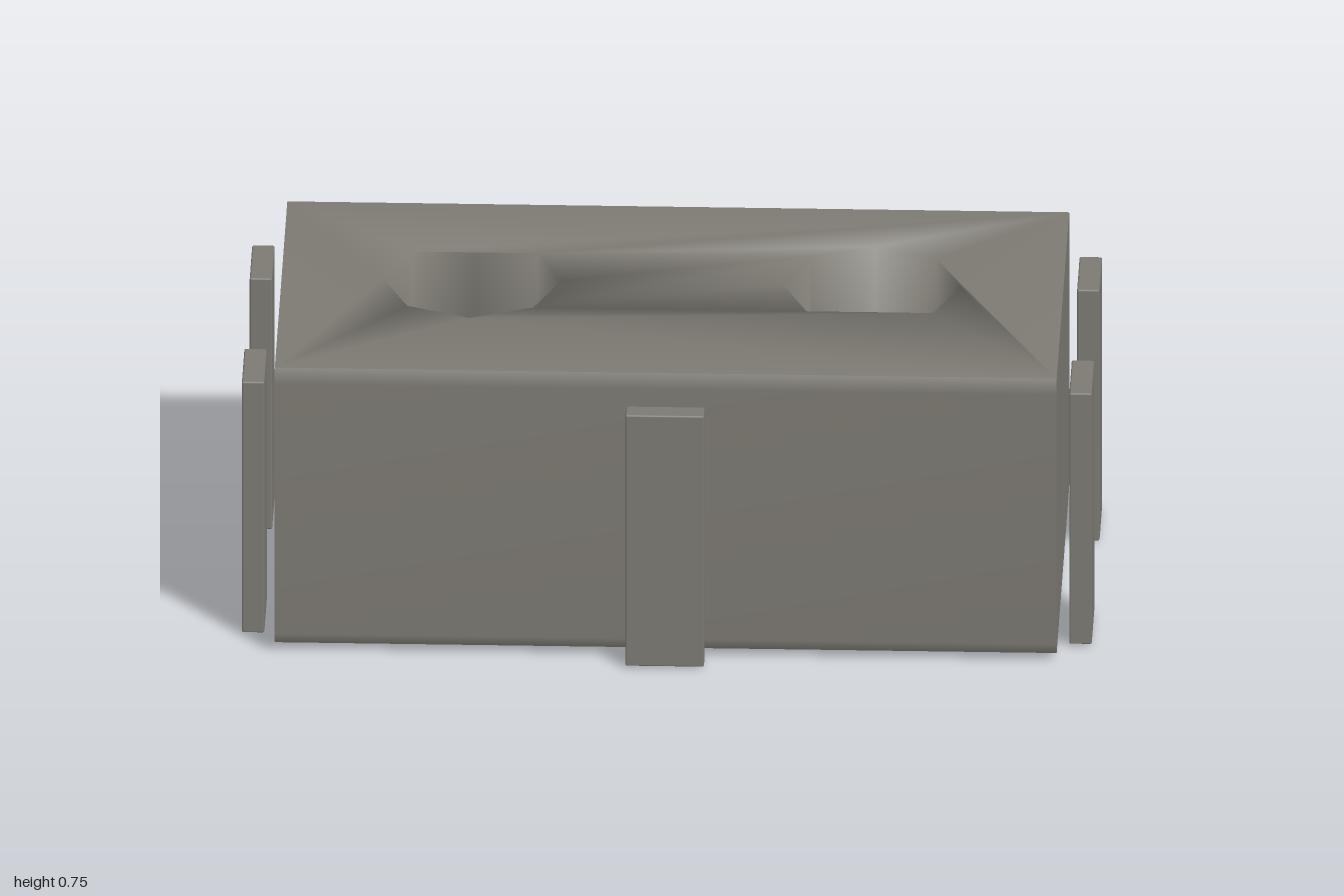
import * as THREE from 'three';
import { mergeGeometries, mergeVertices } from 'three/addons/utils/BufferGeometryUtils.js';
import { RoundedBoxGeometry } from 'three/addons/geometries/RoundedBoxGeometry.js';

const HALF_X = 0.92, HALF_Z = 0.455;
const LOW = 0.02, HIGH = 0.735, CROWN = 0.755;

// Eight-sided opening; corners listed in flat are pulled back onto the square side
function ring(cx, flat) {
  return Array.from({ length: 8 }, (_, k) => {
    const a = k * Math.PI / 4, r = flat.includes(k) ? 0.148 : 0.21;
    return new THREE.Vector2(cx + r * Math.cos(a), r * Math.sin(a));
  });
}

function fromTriangles(points) {
  const g = new THREE.BufferGeometry().setFromPoints(points);
  return g;
}

// Slightly crowned face with two openings; dir is 1 for top and -1 for bottom
function crownedFace(rings, dir) {
  const v = (x, z) => new THREE.Vector2(x, -dir * z);
  const shape = new THREE.Shape([
    v(-HALF_X, HALF_Z), v(HALF_X, HALF_Z), v(HALF_X, -HALF_Z), v(-HALF_X, -HALF_Z)]);
  for (const r of rings) shape.holes.push(new THREE.Path(r.map(p => v(p.x, p.y))));
  const g = new THREE.ShapeGeometry(shape).rotateX(-dir * Math.PI / 2);
  const pos = g.attributes.position;
  for (let i = 0; i < pos.count; i++) {
    const rim = Math.abs(pos.getX(i)) > 0.9;
    pos.setY(i, dir > 0 ? (rim ? HIGH : CROWN) : (rim ? LOW : 0));
  }
  g.deleteAttribute('normal');
  g.deleteAttribute('uv');
  return g.toNonIndexed();
}

// Inner wall joining a top opening to a bottom opening
function holeWall(top, bottom) {
  const pts = [];
  for (let k = 0; k < 8; k++) {
    const n = (k + 1) % 8;
    const a = new THREE.Vector3(top[k].x, CROWN, top[k].y);
    const b = new THREE.Vector3(top[n].x, CROWN, top[n].y);
    const c = new THREE.Vector3(bottom[k].x, 0, bottom[k].y);
    const d = new THREE.Vector3(bottom[n].x, 0, bottom[n].y);
    pts.push(a, c, b, b, c, d);
  }
  return fromTriangles(pts);
}

export function createModel() {
  const model = new THREE.Group();
  const stone = new THREE.MeshStandardMaterial({ color: 0x7d7a73 });
  stone.name = 'grey stone';

  const add = (name, geometry, parent = model) => {
    const mesh = new THREE.Mesh(geometry, stone);
    mesh.name = name;
    parent.add(mesh);
    return mesh;
  };

  // Top, bottom and hole walls share soft normals
  const tops = [ring(-0.47, [6]), ring(0.47, [2])];
  const bottoms = [ring(-0.47, [2]), ring(0.47, [4, 6])];
  const core = mergeVertices(mergeGeometries([
    crownedFace(tops, 1), crownedFace(bottoms, -1),
    holeWall(tops[0], bottoms[0]), holeWall(tops[1], bottoms[1])]), 1e-4);
  core.computeVertexNormals();
  add('piercedCore', core);

  // Long sides, bulging slightly between their upper and lower edges
  const profile = [[LOW, HALF_Z], [0.05, 0.471], [0.7, 0.471], [HIGH, HALF_Z]];
  const sidePts = [];
  for (let i = 0; i < 3; i++) {
    const p = (x, j) => new THREE.Vector3(x, profile[j][0], profile[j][1]);
    const a = p(-HALF_X, i), b = p(HALF_X, i), c = p(HALF_X, i + 1), d = p(-HALF_X, i + 1);
    sidePts.push(a, b, c, a, c, d);
  }
  const side = mergeVertices(fromTriangles(sidePts));
  side.computeVertexNormals();
  add('frontSide', side);
  add('backSide', side).rotation.y = Math.PI;

  // Flat ends
  const outline = [
    ...profile.map(([y, z]) => new THREE.Vector2(z, y)),
    ...profile.slice().reverse().map(([y, z]) => new THREE.Vector2(-z, y))];
  const end = new THREE.ShapeGeometry(new THREE.Shape(outline));
  for (const s of [1, -1]) {
    const cap = add(s > 0 ? 'leftEnd' : 'rightEnd', end);
    cap.rotation.y = s * Math.PI / 2;
    cap.position.x = s * HALF_X;
  }

  // Upright slabs standing just off the sides and ends
  const slab = (name, w, d, x, z) =>
    add(name, new RoundedBoxGeometry(w, 0.653, d, 1, 0.004)).position.set(x, 0.332, z);
  for (const s of [1, -1]) {
    slab(s > 0 ? 'frontSlab' : 'backSlab', 0.185, 0.053, 0, s * 0.503);
    for (const t of [1, -1]) {
      slab((s > 0 ? 'left' : 'right') + (t > 0 ? 'FrontSlab' : 'BackSlab'),
        0.053, 0.185, s * 0.9735, t * 0.283);
    }
  }
  return model;
}
